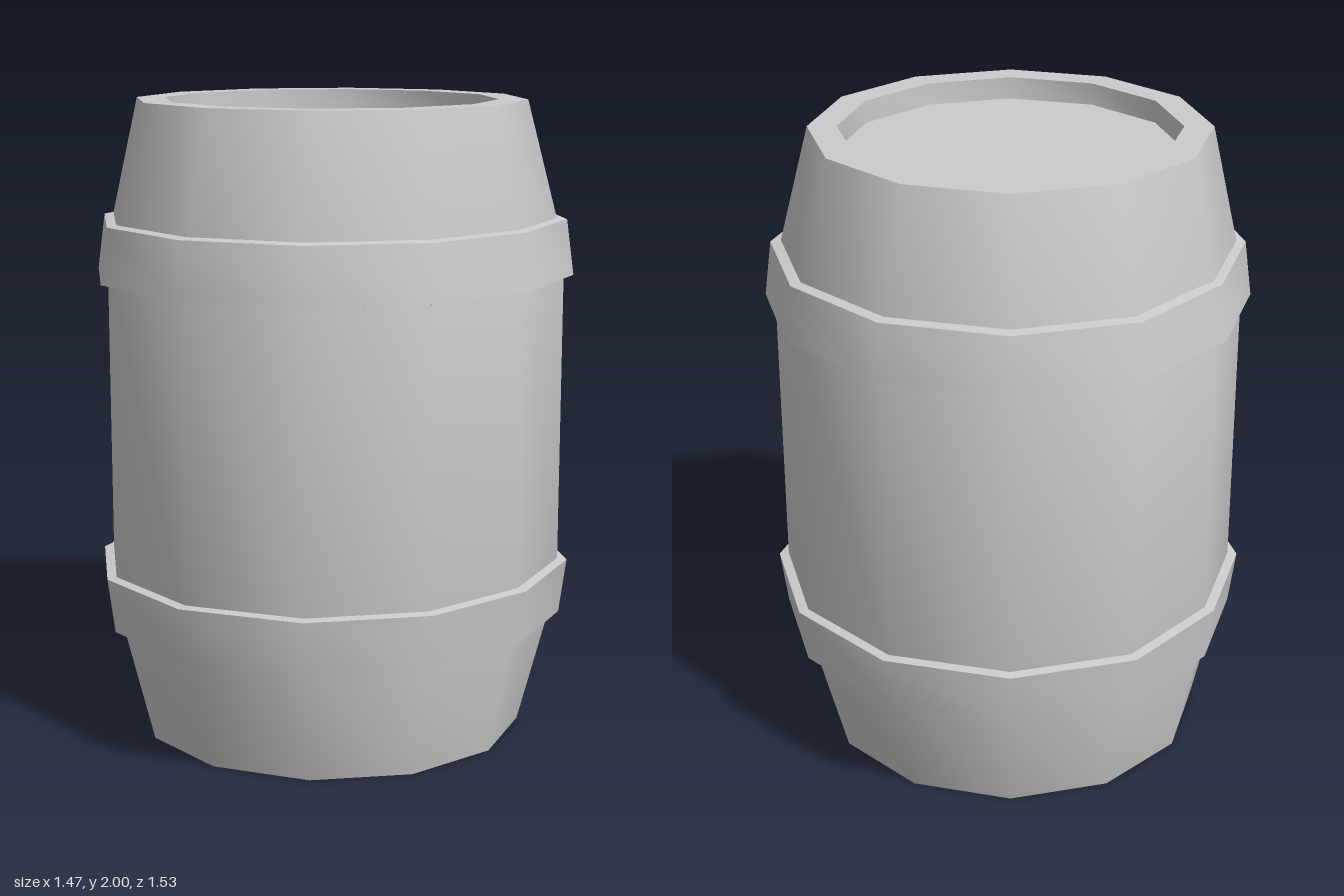
import * as THREE from 'three';
import { toCreasedNormals } from 'three/addons/utils/BufferGeometryUtils.js';

const SIDES = 12;
// How far each corner is pulled in at the belly, from the front (+z) round to the back
const INSET = [0.002, 0.008, 0.021, 0.03, 0.005, 0.003, 0];

// Twelve-sided turned part; the belly is slightly uneven, the ends are regular
function turned(name, profile, material) {
  const lathe = new THREE.LatheGeometry(profile.map(([r, y]) => new THREE.Vector2(r, y)), SIDES);
  const pos = lathe.attributes.position;
  for (let i = 0; i < pos.count; i++) {
    const x = pos.getX(i), z = pos.getZ(i), r = Math.hypot(x, z);
    if (r < 0.611) continue;
    const corner = Math.round(Math.abs(Math.atan2(x, z)) / (Math.PI / 6));
    const s = 1 - INSET[corner] * Math.min(1, (r - 0.61) / 0.1) / r;
    pos.setX(i, x * s);
    pos.setZ(i, z * s);
  }
  const mesh = new THREE.Mesh(toCreasedNormals(lathe, 0.7), material);
  mesh.name = name;
  return mesh;
}

export function createModel() {
  const group = new THREE.Group();
  group.name = 'barrel';
  const grey = new THREE.MeshStandardMaterial({ color: 0xcccccc });

  // Staves with both recessed ends
  group.add(turned('barrelBody', [
    [0, 0.07], [0.52, 0.07], [0.52, 0], [0.61, 0],
    [0.735, 0.46], [0.735, 1.54],
    [0.61, 2], [0.52, 2], [0.52, 1.93], [0, 1.93],
  ], grey));

  // Hoops, wider towards the middle; the lower one mirrors the upper
  const hoop = [[0.7, 1.45], [0.765, 1.46], [0.742, 1.633], [0.7, 1.64], [0.7, 1.45]];
  group.add(turned('upperHoop', hoop, grey));
  group.add(turned('lowerHoop', hoop.map(([r, y]) => [r, 2 - y]).reverse(), grey));
  return group;
}
